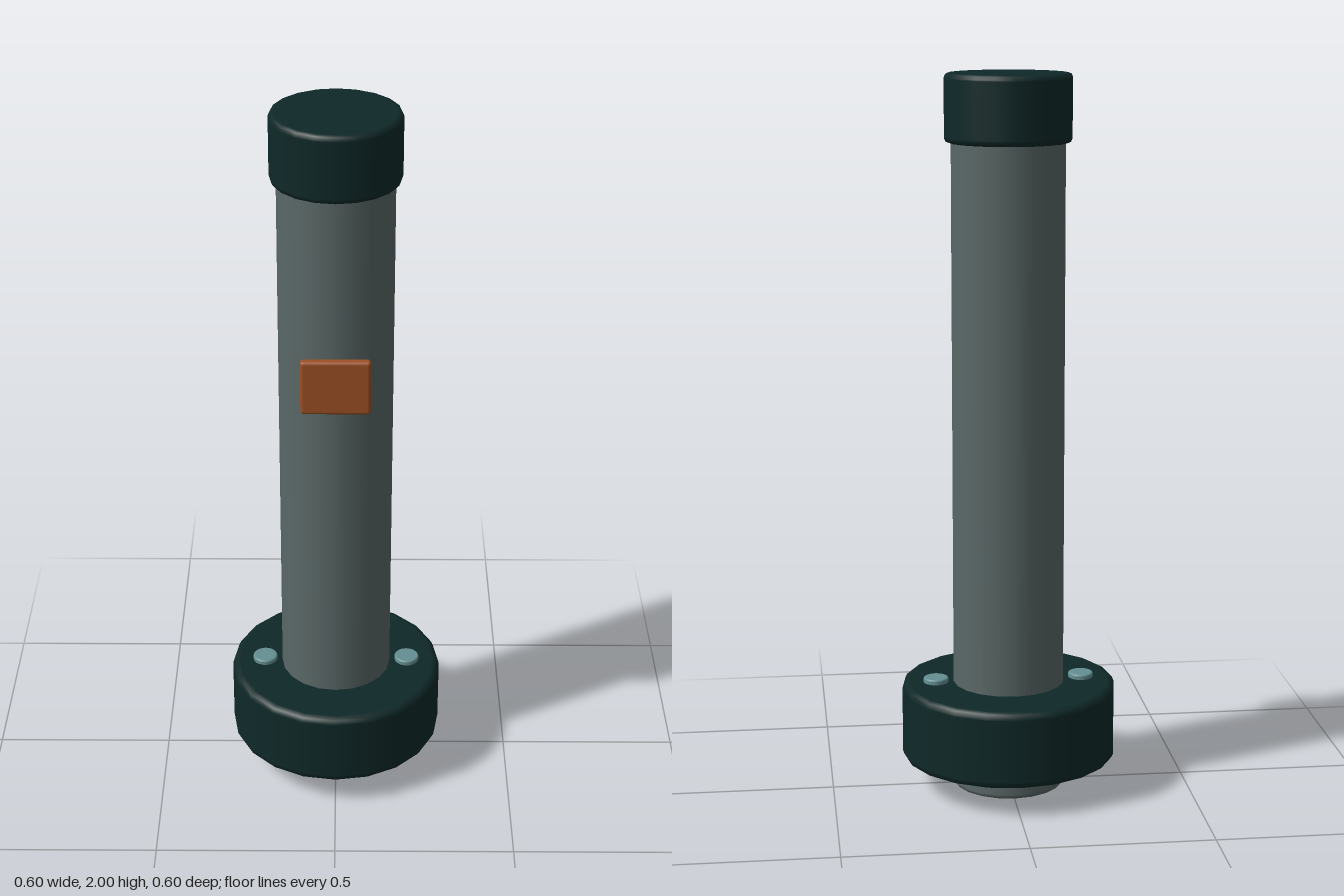
import * as THREE from 'three';
import { RoundedBoxGeometry } from 'three/addons/geometries/RoundedBoxGeometry.js';

const mat = (name, color) => {
  const m = new THREE.MeshStandardMaterial({ color });
  m.name = name;
  return m;
};

// Solid cylinder with softened rims, from y0 to y1
function softCylinder(r, y0, y1, bevel, sides) {
  const c = bevel * 0.3;
  const half = [[0, 0], [r - bevel * 1.3, 0], [r - bevel, 0], [r - c, c], [r, bevel], [r, bevel * 1.3]];
  const profile = [
    ...half.map(([x, d]) => new THREE.Vector2(x, y0 + d)),
    ...half.slice().reverse().map(([x, d]) => new THREE.Vector2(x, y1 - d)),
  ];
  return new THREE.LatheGeometry(profile, sides);
}

export function createModel() {
  const steel = mat('grey steel', 0x5a6867);
  const dark = mat('dark teal', 0x0f2828);
  const copper = mat('copper orange', 0x9c5024);
  const pale = mat('pale teal', 0x648f93);

  const model = new THREE.Group();
  model.name = 'post';
  const add = (name, geometry, material, x = 0, y = 0, z = 0) => {
    const mesh = new THREE.Mesh(geometry, material);
    mesh.name = name;
    mesh.position.set(x, y, z);
    model.add(mesh);
  };

  // Main shaft with its end cap and base collar
  add('shaft', softCylinder(0.156, 0, 1.9, 0.01, 20), steel);
  add('topCap', softCylinder(0.174, 1.815, 2, 0.012, 20), dark);
  add('baseCollar', softCylinder(0.301, 0.085, 0.303, 0.016, 20), dark);

  // Plate on the front of the shaft
  add('frontPlate', new RoundedBoxGeometry(0.187, 0.157, 0.027, 2, 0.009), copper, 0, 1.292, 0.161);

  // Bolt heads on the collar
  for (const side of [-1, 1]) {
    const name = side > 0 ? 'leftBolt' : 'rightBolt';
    add(name, softCylinder(0.035, 0.28, 0.317, 0.004, 24), pale, side * 0.206);
  }
  return model;
}
